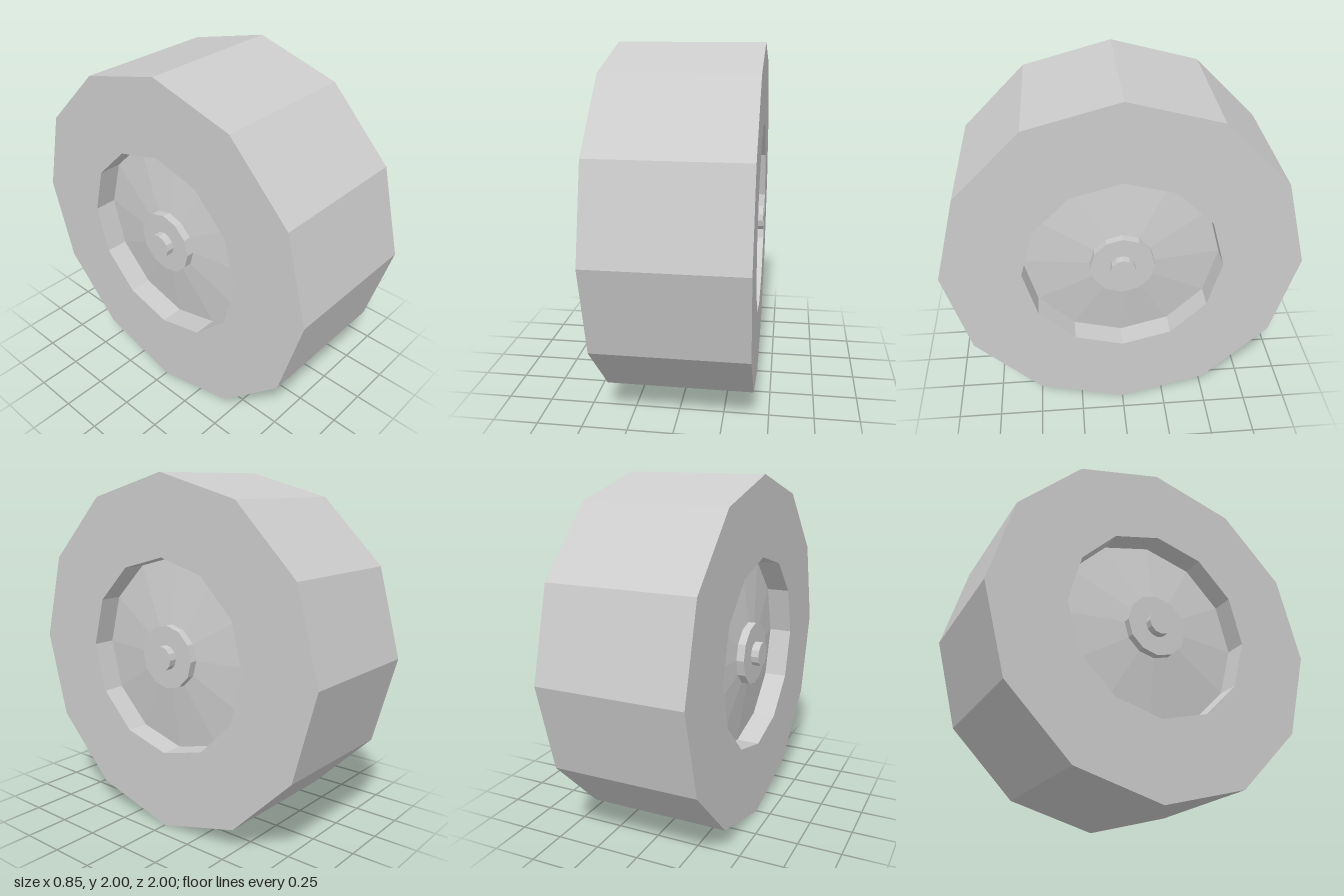
import * as THREE from 'three';

const SIDES = 12;
const WHEEL_RADIUS = 1, HALF_WIDTH = 0.413;
const RIM_RADIUS = 0.555, RIM_X = 0.28;
const HUB_RADIUS = 0.18, HUB_BASE_X = 0.335, HUB_X = 0.38;
const CAP_RADIUS = 0.07, CAP_X = 0.425;

const material = new THREE.MeshStandardMaterial({ color: 0xcccccc, flatShading: true });

// Faceted ring from [radius, distance along the axle] pairs
function turned(name, profile) {
  const points = profile.map(([r, a]) => new THREE.Vector2(r, a));
  const geometry = new THREE.LatheGeometry(points, SIDES).toNonIndexed();
  geometry.computeVertexNormals();
  const mesh = new THREE.Mesh(geometry, material);
  mesh.name = name;
  return mesh;
}

// Everything inside the recess on one side of the wheel
function createHubSide(name) {
  const side = new THREE.Group();
  side.name = name;
  side.add(
    // shallow cone rising towards the hub
    turned('wheelDisc', [[RIM_RADIUS, RIM_X], [HUB_RADIUS, HUB_BASE_X]]),
    turned('hub', [[HUB_RADIUS, HUB_BASE_X], [HUB_RADIUS, HUB_X], [CAP_RADIUS, HUB_X]]),
    turned('axleCap', [[CAP_RADIUS, HUB_X], [CAP_RADIUS, CAP_X], [0, CAP_X]])
  );
  return side;
}

export function createModel() {
  const wheel = new THREE.Group();
  wheel.name = 'wheel';

  // Tyre with the recess walls on both sides
  const tyre = turned('tyre', [
    [RIM_RADIUS, -RIM_X], [RIM_RADIUS, -HALF_WIDTH], [WHEEL_RADIUS, -HALF_WIDTH],
    [WHEEL_RADIUS, HALF_WIDTH], [RIM_RADIUS, HALF_WIDTH], [RIM_RADIUS, RIM_X],
  ]);
  tyre.rotation.z = -Math.PI / 2;
  wheel.add(tyre);

  // Matching hub on the left (+x) and right (-x)
  for (const s of [1, -1]) {
    const side = createHubSide(s > 0 ? 'leftHub' : 'rightHub');
    side.rotation.z = -s * Math.PI / 2;
    wheel.add(side);
  }

  wheel.position.y = WHEEL_RADIUS;
  const model = new THREE.Group();
  model.name = 'wheelModel';
  model.add(wheel);
  return model;
}
